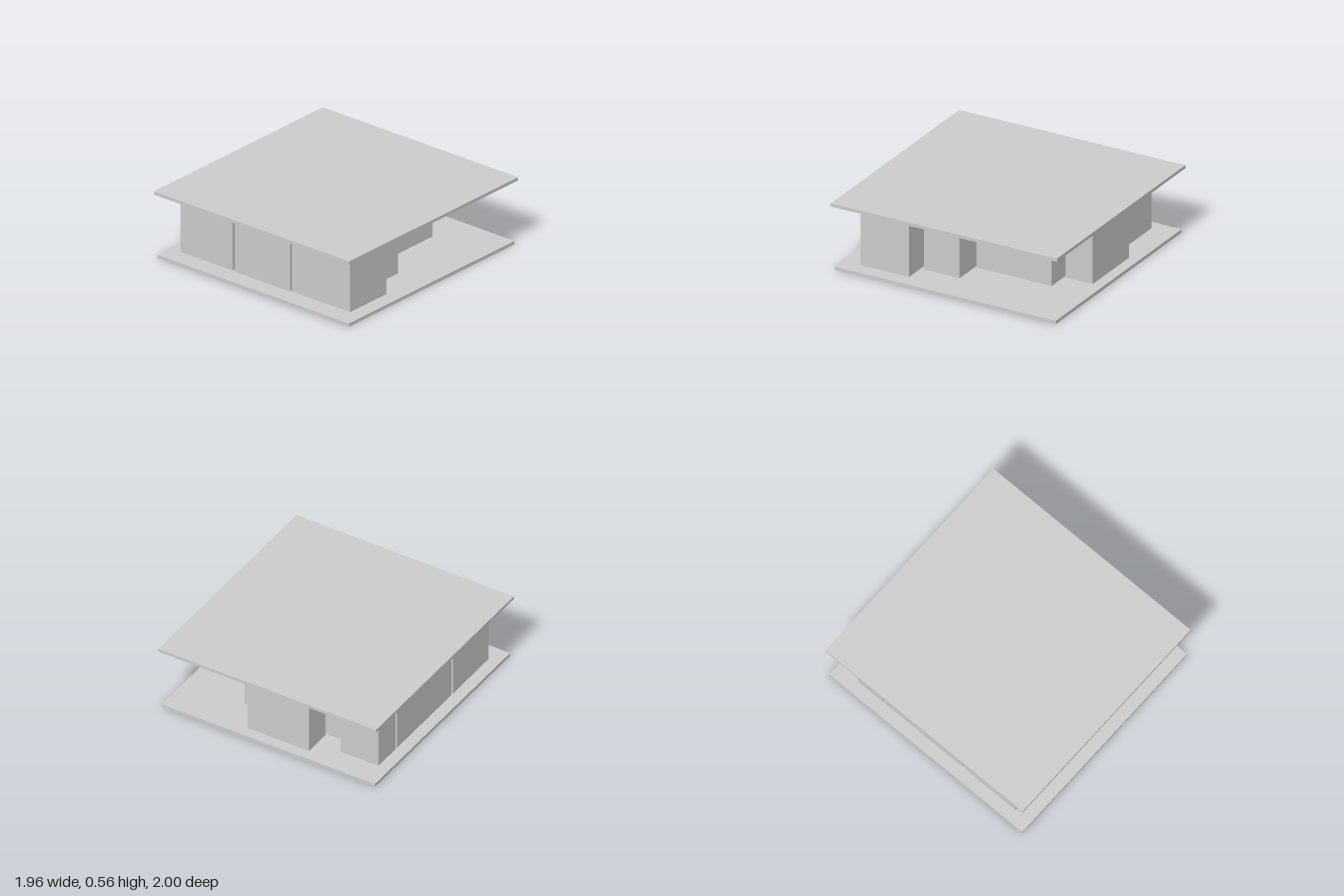
import * as THREE from 'three';

// Room blocks in plan: name, x from, x to, z from, z to
const rooms = [
  ['frontLeftRoom', 0.255, 0.835, 0.39, 0.82],
  ['frontMiddleRoom', -0.31, 0.24, 0.39, 0.83],
  ['frontRightRoom', -0.86, -0.34, 0.31, 0.825],
  ['leftSideRoom', -0.31, 0.66, 0.045, 0.36],
  ['centralRoom', -0.49, 0.43, -0.635, 0.03],
  ['rightSideRoom', -0.86, -0.52, -0.5, 0.29],
  ['backRightRoom', -0.86, -0.52, -0.77, -0.52],
  ['backMiddleRoom', -0.31, 0.245, -0.89, -0.65],
];

export function createModel() {
  const group = new THREE.Group();
  const material = new THREE.MeshStandardMaterial({ color: 0xcccccc, flatShading: true });

  // Box given by its limits on each axis
  const addBlock = (name, x0, x1, y0, y1, z0, z1) => {
    const mesh = new THREE.Mesh(new THREE.BoxGeometry(x1 - x0, y1 - y0, z1 - z0), material);
    mesh.position.set((x0 + x1) / 2, (y0 + y1) / 2, (z0 + z1) / 2);
    mesh.name = name;
    group.add(mesh);
  };

  // Floor and the slightly larger roof
  addBlock('floorSlab', -0.96, 0.96, 0, 0.028, -0.98, 0.98);
  addBlock('roofSlab', -0.98, 0.98, 0.538, 0.565, -1, 1);

  // Rooms fill the height between the slabs
  for (const [name, x0, x1, z0, z1] of rooms) addBlock(name, x0, x1, 0.028, 0.538, z0, z1);

  return group;
}
